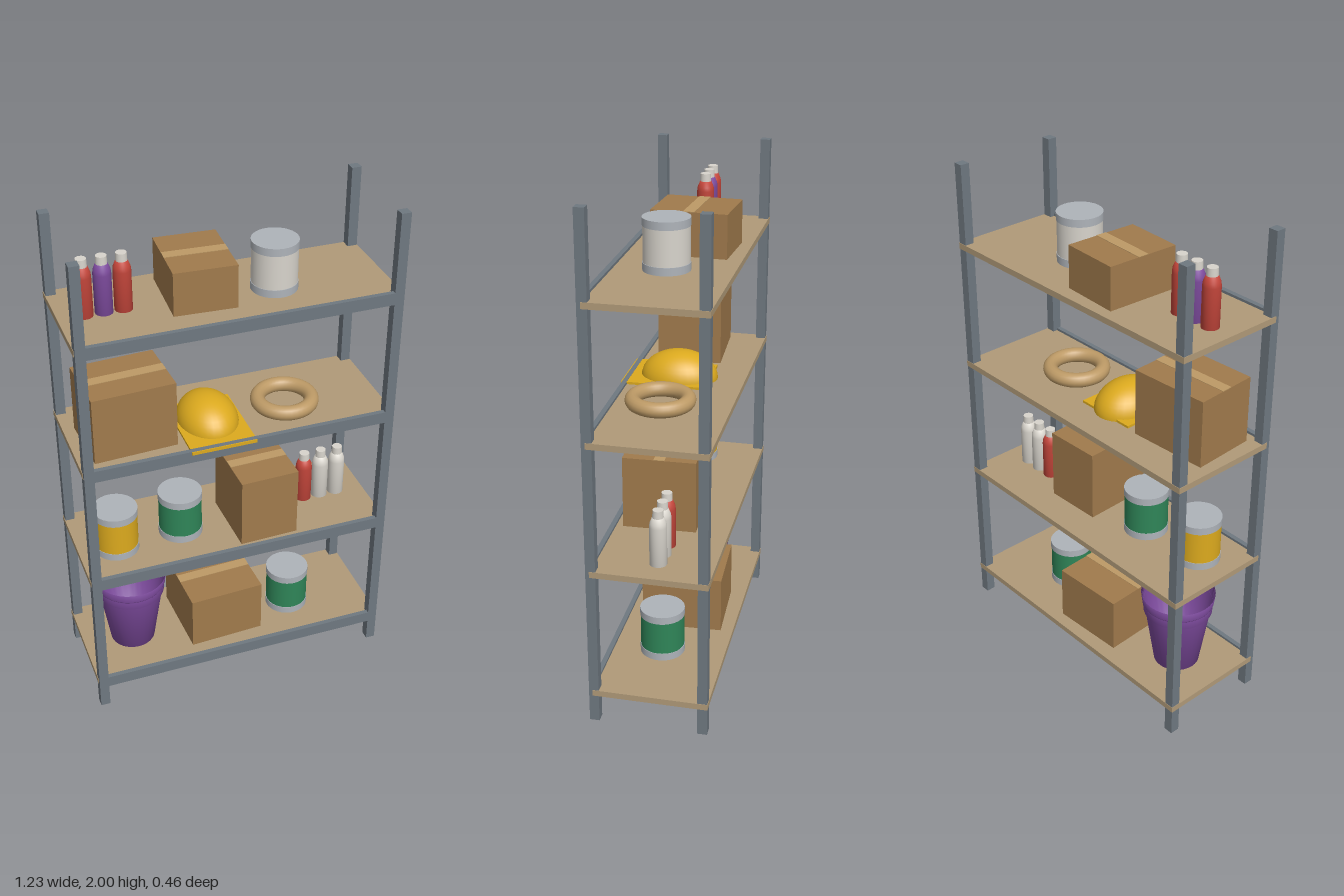
import * as THREE from 'three';

const mat = (name, color, extra = {}) => {
  const m = new THREE.MeshStandardMaterial({ color, ...extra });
  m.name = name;
  return m;
};

export function createModel() {
  const steel = mat('steel', 0x6f7880);
  const wood = mat('shelf board', 0xb09a78);
  const cardboard = mat('cardboard', 0xa07a4c);
  const tan = mat('tape and rope', 0xbd9a66);
  const tin = mat('tin', 0xaeb3b9);
  const white = mat('white', 0xd8d4cc);
  const yellow = mat('yellow', 0xdcaa1e);
  const green = mat('green', 0x2f8558);
  const purple = mat('purple', 0x7c4a9c, { side: THREE.DoubleSide });
  const red = mat('red', 0xc2453a);

  const root = new THREE.Group();
  root.name = 'stockedShelving';

  const add = (parent, name, geo, material, x = 0, y = 0, z = 0) => {
    const m = new THREE.Mesh(geo, material);
    m.name = name;
    m.position.set(x, y, z);
    parent.add(m);
    return m;
  };
  const group = (name, x, y, z, turn = 0) => {
    const g = new THREE.Group();
    g.name = name;
    g.position.set(x, y, z);
    g.rotation.y = turn;
    root.add(g);
    return g;
  };
  const lathe = (pts) => new THREE.LatheGeometry(pts.map(([r, y]) => new THREE.Vector2(r, y)), 32);

  // Rack: four posts, four boards, a front beam under each board edge
  for (const sx of [-1, 1]) {
    for (const z of [0.208, -0.211]) {
      add(root, 'post', new THREE.BoxGeometry(0.038, 2, 0.038), steel, sx * 0.593, 1, z);
    }
  }
  const levels = [0, 1, 2, 3].map((i) => 0.122 + i * 0.5145);
  for (const y of levels) {
    add(root, 'shelfBoard', new THREE.BoxGeometry(1.228, 0.024, 0.444), wood, 0, y + 0.002, -0.0095);
    add(root, 'frontBeam', new THREE.BoxGeometry(1.15, 0.048, 0.019), steel, 0, y, 0.2175);
  }
  const tops = levels.map((y) => y + 0.014);

  // Carton with a strip of tape across the top
  const carton = (level, x, z, w, h, d, turn) => {
    const g = group('carton', x, tops[level], z, turn);
    add(g, 'cartonBody', new THREE.BoxGeometry(w, h, d), cardboard, 0, h / 2, 0);
    add(g, 'cartonTape', new THREE.BoxGeometry(w, 0.003, 0.043), tan, 0, h + 0.0005, 0);
  };
  carton(0, -0.044, -0.015, 0.306, 0.23, 0.322, 0.045);
  carton(1, 0.122, 0.041, 0.236, 0.292, 0.286, 0.03);
  carton(2, -0.401, 0.032, 0.322, 0.268, 0.252, 0.055);
  carton(3, -0.097, -0.035, 0.237, 0.168, 0.292, -0.055);

  // Paint can: coloured label between two metal rims
  const can = (level, x, z, material) => {
    const g = group('paintCan', x, tops[level], z);
    const rim = new THREE.CylinderGeometry(0.088, 0.088, 0.03, 32);
    add(g, 'canBottom', rim, tin, 0, 0.015, 0);
    add(g, 'canLabel', new THREE.CylinderGeometry(0.086, 0.086, 0.14, 32), material, 0, 0.095, 0);
    add(g, 'canLid', rim, tin, 0, 0.179, 0);
  };
  can(0, 0.278, 0.018, green);
  can(1, -0.46, 0.035, yellow);
  can(1, -0.19, 0.016, green);
  can(3, 0.189, 0.015, white);

  // Bottle: rounded shoulder and a white cap
  const bottle = (level, x, z, material) => {
    const g = group('bottle', x, tops[level], z);
    add(g, 'bottleBody', lathe([[0, 0], [0.033, 0], [0.033, 0.155], [0.031, 0.17], [0.022, 0.192], [0, 0.192]]), material);
    add(g, 'bottleCap', new THREE.CylinderGeometry(0.02, 0.021, 0.03, 24), white, 0, 0.207, 0);
  };
  [red, white, white].forEach((m, i) => bottle(1, 0.354 + i * 0.072, -0.02, m));
  [red, purple, red].forEach((m, i) => bottle(3, -0.516 + i * 0.072, -0.012, m));

  // Nested buckets, open at the top
  const buckets = group('bucketStack', -0.404, tops[0], -0.006);
  add(buckets, 'bucketWalls', lathe([
    [0, 0], [0.091, 0], [0.129, 0.243], [0.137, 0.25], [0.139, 0.284],
    [0.136, 0.287], [0.142, 0.289], [0.143, 0.32], [0.139, 0.3], [0.1, 0.08], [0, 0.08],
  ].map(([r, y]) => [r, y]).flatMap((p, i) => (i === 7 ? [[0.142, 0.291], [0.147, 0.328]] : [p]))), purple);

  // Hard hat: stretched dome set through the board, with a flat brim
  const hat = group('hardHat', -0.077, tops[2], 0.027);
  const dome = add(hat, 'hatDome', new THREE.SphereGeometry(1, 32, 20), yellow);
  dome.scale.set(0.117, 0.108, 0.151);
  add(hat, 'hatBrim', new THREE.BoxGeometry(0.254, 0.013, 0.33), yellow, 0, 0.003, 0.039);

  // Rope ring lying flat
  const ring = add(root, 'ropeRing', new THREE.TorusGeometry(0.104, 0.029, 16, 40), tan, 0.237, tops[2] + 0.028, 0.03);
  ring.rotation.x = Math.PI / 2;

  return root;
}
